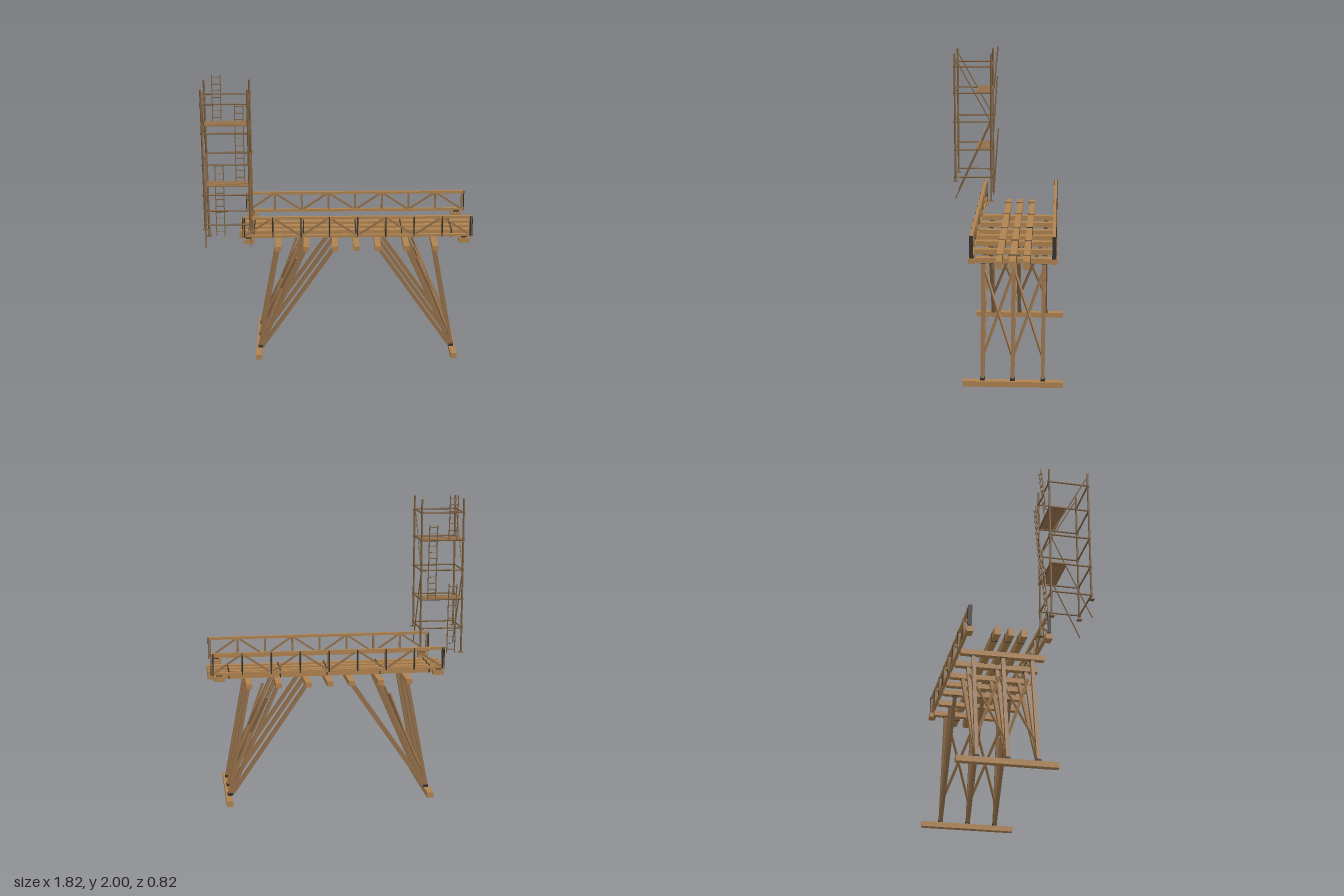
import * as THREE from 'three';

const wood = new THREE.MeshStandardMaterial({ color: 0xb08350 });
const oldWood = new THREE.MeshStandardMaterial({ color: 0x94704a });
const pole = new THREE.MeshStandardMaterial({ color: 0x7d6040 });
const iron = new THREE.MeshStandardMaterial({ color: 0x35322f });

const V = (x, y, z) => new THREE.Vector3(x, y, z);

function group(parent, name) {
  const g = new THREE.Group();
  g.name = name;
  parent.add(g);
  return g;
}

function add(parent, name, geo, mat, x, y, z) {
  const m = new THREE.Mesh(geo, mat);
  m.name = name;
  m.position.set(x, y, z);
  parent.add(m);
  return m;
}

const box = (parent, name, mat, w, h, d, x, y, z) =>
  add(parent, name, new THREE.BoxGeometry(w, h, d), mat, x, y, z);

// Square timber running from a to b
function timber(parent, name, mat, a, b, w, d = w) {
  const dir = b.clone().sub(a);
  const mid = a.clone().add(b).multiplyScalar(0.5);
  const m = box(parent, name, mat, w, d, dir.length(), mid.x, mid.y, mid.z);
  m.lookAt(b);
  return m;
}

// Round pole running from a to b
function rod(parent, name, mat, a, b, r) {
  const dir = b.clone().sub(a);
  const mid = a.clone().add(b).multiplyScalar(0.5);
  const m = add(parent, name, new THREE.CylinderGeometry(r, r, dir.length(), 8), mat, mid.x, mid.y, mid.z);
  m.quaternion.setFromUnitVectors(V(0, 1, 0), dir.normalize());
  return m;
}

const rows = [0.115, -0.08, -0.275];

// Fan of raking legs rising from one sill
function trestle(parent, name, sillX, capXs, braceX) {
  const g = group(parent, name);
  box(g, 'sill', wood, 0.043, 0.037, 0.65, sillX, 0.0185, -0.082);
  const inward = Math.sign(capXs[0] - sillX);
  for (const z of rows) {
    box(g, 'legShoe', iron, 0.034, 0.018, 0.03, sillX + inward * 0.008, 0.046, z);
    capXs.forEach((x, i) => {
      timber(g, 'leg', oldWood, V(sillX + inward * (0.004 + i * 0.008), 0.045, z), V(x, 0.795, z), 0.024);
      box(g, 'legTopPlate', iron, 0.036, 0.005, 0.03, x, 0.789, z);
    });
  }
  // Crossed braces between neighbouring rows
  for (let i = 0; i < 2; i++) {
    for (const [p, q] of [[rows[i], rows[i + 1]], [rows[i + 1], rows[i]]]) {
      timber(g, 'crossBrace', oldWood, V(braceX[0], 0.18, p), V(braceX[1], 0.71, q), 0.014);
    }
  }
}

// Side railing truss; out is the direction of its outer face
function railing(parent, name, z, out) {
  const g = group(parent, name);
  const x0 = -0.655, x1 = 0.875, n = 8, step = (x1 - x0) / n;
  const low = 0.897, high = 1.027;
  for (const y of [low, high]) box(g, 'chord', wood, x1 - x0 + 0.025, 0.018, 0.02, (x0 + x1) / 2, y, z);
  for (let i = 0; i <= n; i++) {
    const x = x0 + i * step;
    box(g, 'upright', oldWood, 0.014, high - low, 0.016, x, (low + high) / 2, z);
    box(g, 'ironStrap', iron, 0.008, high - low + 0.014, 0.004, x, (low + high) / 2, z + out * 0.012);
    if (i === n) break;
    const [a, b] = i % 2 ? [high, low] : [low, high];
    timber(g, 'diagonal', oldWood, V(x, a, z), V(x + step, b, z), 0.012);
  }
  for (const x of [x0 - 0.013, x1 + 0.013]) box(g, 'endStrap', iron, 0.004, 0.145, 0.024, x, 0.962, z);
  for (const x of [-0.627, 0.835]) {
    box(g, 'bearingBlock', wood, 0.072, 0.035, 0.045, x, 0.866, z);
    box(g, 'bearingPlate', iron, 0.04, 0.008, 0.03, x, 0.886, z);
  }
}

// Ladder leaning from base to top
function ladder(parent, x, y0, y1, z0, z1) {
  const g = group(parent, 'ladder');
  for (const s of [-1, 1]) timber(g, 'ladderRail', pole, V(x + s * 0.028, y0, z0), V(x + s * 0.028, y1, z1), 0.006, 0.008);
  const n = Math.floor((y1 - y0) / 0.043);
  for (let i = 0; i < n; i++) {
    const t = (i + 0.6) / n;
    rod(g, 'rung', pole, V(x - 0.028, y0 + (y1 - y0) * t, z0 + (z1 - z0) * t),
      V(x + 0.028, y0 + (y1 - y0) * t, z0 + (z1 - z0) * t), 0.0028);
  }
}

function tower(parent) {
  const g = group(parent, 'scaffoldTower');
  const xs = [-0.897, -0.602], zs = [0.132, 0.395];
  const levels = [1.065, 1.27, 1.478, 1.687, 1.88];
  for (const x of xs) {
    zs.forEach((z, i) => {
      const foot = i ? 1.03 : 0.885;
      rod(g, 'towerPost', pole, V(x, foot, z), V(x, 1.975, z), 0.007);
      box(g, 'footPlate', pole, 0.032, 0.006, 0.032, x, foot + 0.003, z);
      for (const y of levels) add(g, 'collar', new THREE.CylinderGeometry(0.0105, 0.0105, 0.016, 8), pole, x, y, z);
    });
    for (const y of levels) rod(g, 'sideRail', pole, V(x, y, zs[0]), V(x, y, zs[1]), 0.0055);
    // Zigzag bracing on each end
    rod(g, 'towerBrace', pole, V(x, 1.95, zs[1]), V(x, 1.475, zs[0]), 0.0042);
    rod(g, 'towerBrace', pole, V(x, 1.475, zs[0]), V(x, 0.905, zs[1]), 0.0042);
  }
  for (const y of levels)
    for (const z of zs) rod(g, 'longRail', pole, V(xs[0], y, z), V(xs[1], y, z), 0.0058);
  // Plank platforms
  for (const y of [1.277, 1.694])
    for (let i = 0; i < 4; i++) box(g, 'plank', oldWood, 0.3, 0.007, 0.025, -0.75, y, 0.146 + i * 0.028);
  ladder(g, -0.82, 0.885, 1.385, 0.126, 0.09);
  ladder(g, -0.677, 1.278, 1.8, 0.126, 0.09);
  ladder(g, -0.82, 1.69, 2.0, 0.121, 0.092);
}

export function createModel() {
  const model = new THREE.Group();
  model.name = 'timberTrestleBridge';

  trestle(model, 'rightTrestle', -0.575, [-0.43, -0.238, -0.042], [-0.527, -0.31]);
  trestle(model, 'leftTrestle', 0.783, [0.64, 0.444, 0.249], [0.738, 0.517]);

  // Cross caps
  const caps = group(model, 'crossCaps');
  for (const x of [-0.43, -0.238, -0.042, 0.103, 0.249, 0.444, 0.64])
    box(caps, 'crossCap', wood, 0.041, 0.034, 0.557, x, 0.808, -0.082);

  // Long deck beams with iron bands
  const deck = group(model, 'deckBeams');
  for (const z of [0.003, -0.082, -0.17]) {
    box(deck, 'deckBeam', wood, 1.605, 0.053, 0.04, 0.103, 0.8515, z);
    for (const x of [-0.6, -0.26, 0.103, 0.42, 0.765])
      box(deck, 'ironBand', iron, 0.008, 0.057, 0.044, x, 0.8515, z);
  }

  railing(model, 'frontRailing', 0.174, 1);
  railing(model, 'backRailing', -0.342, -1);
  tower(model);
  return model;
}
